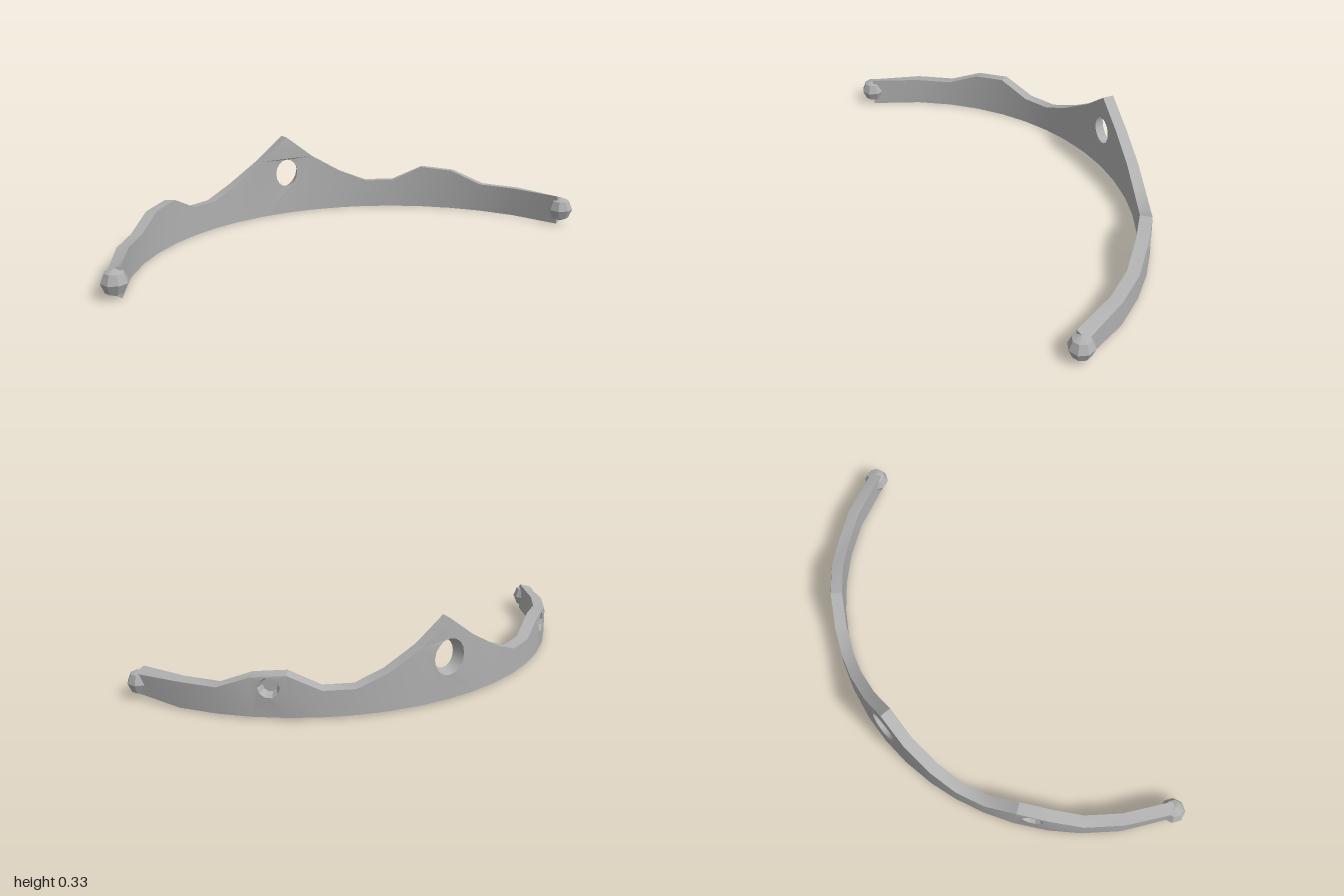
import * as THREE from 'three';
import { toCreasedNormals } from 'three/addons/utils/BufferGeometryUtils.js';

const R = 1.01;        // radius of the band's centre line
const CZ = 0.664;      // centre of that arc
const HALF = 0.0235;   // half the band thickness
const END = 0.95;

// stations on the half band: x, top height
const PROFILE = [
  [0.12, 0.24], [0.25, 0.163], [0.36, 0.116], [0.47, 0.117], [0.577, 0.177],
  [0.68, 0.167], [0.77, 0.117], [0.86, 0.117], [END, 0.117],
];

// wrap a flat point onto the arc at a radial offset (+ is outward)
function wrap(x, y, offset) {
  const a = Math.asin(x / R);
  return [Math.sin(a) * (R + offset), y, CZ - Math.cos(a) * (R + offset)];
}

const ring = (cx, cy, rx, ry, n = 14) => Array.from({ length: n }, (_, i) => {
  const a = (i / n) * Math.PI * 2;
  return new THREE.Vector2(cx + Math.cos(a) * rx, cy + Math.sin(a) * ry);
});

function createBand() {
  const pos = [];
  const tri = (a, b, c) => pos.push(...a, ...b, ...c);
  const quad = (a, b, c, d) => { tri(a, b, c); tri(a, c, d); };
  const wrapAll = (pts, offset) => pts.map((p) => wrap(p.x, p.y, offset));

  // fill one wrapped face, with an optional hole
  function face(outline, hole, offset, outward) {
    const pts = hole ? [...outline, ...hole] : outline;
    const v = wrapAll(pts, offset);
    for (const [a, b, c] of THREE.ShapeUtils.triangulateShape(outline.slice(), hole ? [hole.slice()] : [])) {
      const ccw = THREE.ShapeUtils.area([pts[a], pts[b], pts[c]]) > 0;
      if (ccw !== outward) tri(v[a], v[b], v[c]);
      else tri(v[a], v[c], v[b]);
    }
  }

  // wall around a hole, from the deeper ring to the outer ring
  function holeWall(inner, outer) {
    inner.forEach((p, i) => {
      const j = (i + 1) % inner.length;
      quad(p, inner[j], outer[j], outer[i]);
    });
  }

  // one section of band between two stations; corners run anticlockwise
  function section(corners, holeIn, holeOut) {
    const inner = corners.map((c) => new THREE.Vector2(c[0], c[1]));
    const outer = corners.map((c) => new THREE.Vector2(c[0], c[2]));
    face(inner, holeIn, -HALF, false);
    face(outer, holeOut, HALF, true);
    const I = wrapAll(inner, -HALF), O = wrapAll(outer, HALF);
    corners.forEach((c, i) => {
      const j = (i + 1) % corners.length;
      const upright = c[0] === corners[j][0];
      if (!upright || Math.abs(c[0]) === END) quad(I[i], O[i], O[j], I[j]);
    });
  }

  const bottom = (x) => [x, 0, Math.abs(x) === END ? 0.022 : 0.007];
  const top = (x, y) => [x, y, y - (Math.abs(x) === END ? 0.018 : 0.006)];

  // centre peak with a flared opening
  const [px, py] = PROFILE[0];
  const holeIn = ring(0, 0.177, 0.05, 0.058, 16);
  const holeOut = ring(0, 0.177, 0.066, 0.073, 16);
  section([bottom(-px), bottom(0), bottom(px), top(px, py), [0, 0.332, 0.329], top(-px, py)], holeIn, holeOut);
  holeWall(wrapAll(holeIn, -HALF), wrapAll(holeOut, HALF));

  // side sections, mirrored
  for (const s of [1, -1]) {
    for (let i = 0; i < PROFILE.length - 1; i++) {
      let a = PROFILE[i], b = PROFILE[i + 1];
      if (s < 0) [a, b] = [b, a];
      const xa = a[0] * s, xb = b[0] * s;
      const socketed = PROFILE[i][0] === 0.577;
      const rim = socketed ? ring(s * 0.629, 0.123, 0.032, 0.04, 10) : null;
      section([bottom(xa), bottom(xb), top(xb, b[1]), top(xa, a[1])], null, rim);
      if (socketed) {
        // blind socket in the outer face
        const floor = wrapAll(ring(s * 0.629, 0.123, 0.022, 0.028, 10), -0.013);
        holeWall(floor, wrapAll(rim, HALF));
        const mid = wrap(s * 0.629, 0.123, -0.013);
        floor.forEach((p, k) => tri(mid, floor[(k + 1) % floor.length], p));
      }
    }
  }

  const geo = new THREE.BufferGeometry();
  geo.setAttribute('position', new THREE.Float32BufferAttribute(pos, 3));
  return toCreasedNormals(geo, 0.5);
}

export function createModel() {
  const model = new THREE.Group();
  model.name = 'tiara';
  const metal = new THREE.MeshStandardMaterial({ color: 0xb0b0b0 });
  metal.name = 'grey metal';

  const band = new THREE.Mesh(createBand(), metal);
  band.name = 'band';
  model.add(band);

  // faceted beads on the tips
  const beadGeo = toCreasedNormals(new THREE.SphereGeometry(0.05, 8, 4), 0.5);
  for (const s of [1, -1]) {
    const bead = new THREE.Mesh(beadGeo, metal);
    bead.name = s > 0 ? 'leftTipBead' : 'rightTipBead';
    bead.position.set(s * END, 0.06, 0.321);
    model.add(bead);
  }
  return model;
}
